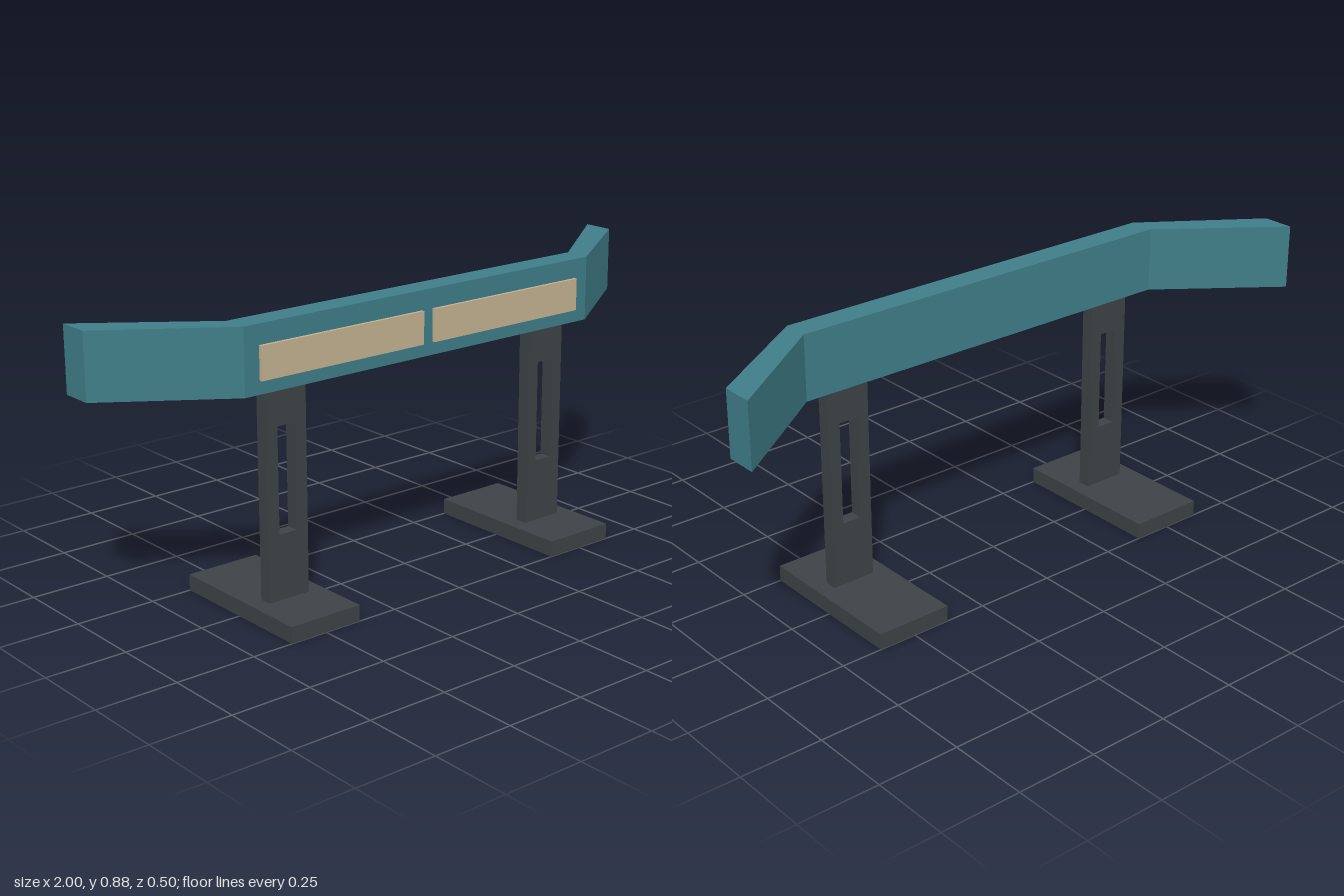
import * as THREE from 'three';

const teal = new THREE.MeshStandardMaterial({ color: 0x3f7d88 });
const dark = new THREE.MeshStandardMaterial({ color: 0x3c4346 });
const beige = new THREE.MeshStandardMaterial({ color: 0xc2b28f });

function addMesh(parent, name, geometry, material, x = 0, y = 0, z = 0) {
  const mesh = new THREE.Mesh(geometry, material);
  mesh.name = name;
  mesh.position.set(x, y, z);
  parent.add(mesh);
  return mesh;
}

const polygon = (points) => points.map(([x, y]) => new THREE.Vector2(x, y));

const rectangle = (x, y0, y1) => polygon([[-x, y0], [x, y0], [x, y1], [-x, y1]]);

export function createModel() {
  const model = new THREE.Group();
  model.name = 'roadBarrier';

  // Rail with swept-back ends: plan outline (x, -z) extruded upward
  const plan = new THREE.Shape(polygon([
    [-1, 0.14], [-0.65, -0.1], [0.65, -0.1], [1, 0.14],
    [1, 0.24], [0.65, -0.02], [-0.65, -0.02], [-1, 0.24],
  ]));
  const railGeometry = new THREE.ExtrudeGeometry(plan, { depth: 0.2, bevelEnabled: false });
  railGeometry.rotateX(-Math.PI / 2);
  addMesh(model, 'rail', railGeometry, teal, 0, 0.68, 0);

  // Post outline with a slot through it
  const postShape = new THREE.Shape(rectangle(0.07, 0.05, 0.68));
  postShape.holes.push(new THREE.Path(rectangle(0.03, 0.25, 0.57)));
  const postGeometry = new THREE.ExtrudeGeometry(postShape, { depth: 0.04, bevelEnabled: false });

  for (const [side, s] of [['left', 1], ['right', -1]]) {
    // Slotted post on its foot plate
    const support = new THREE.Group();
    support.name = side + 'Support';
    support.position.x = s * 0.5;
    addMesh(support, side + 'Post', postGeometry, dark, 0, 0, 0.04);
    addMesh(support, side + 'Foot', new THREE.BoxGeometry(0.24, 0.05, 0.5), dark, 0, 0.025, 0);
    model.add(support);

    // Thin panel on the front of the rail
    addMesh(model, side + 'Panel', new THREE.BoxGeometry(0.58, 0.1, 0.01), beige, s * 0.31, 0.77, 0.105);
  }

  return model;
}
